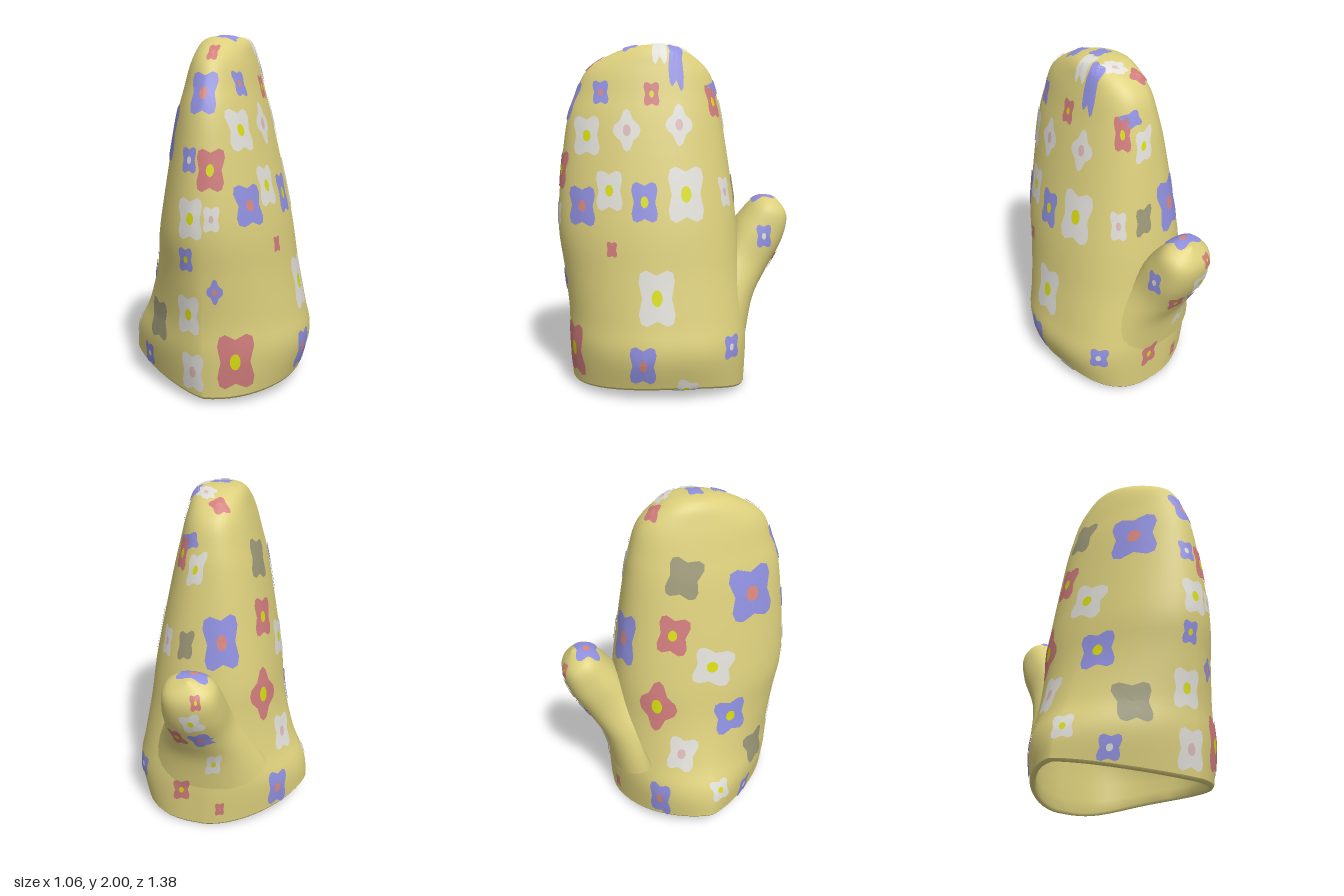
import * as THREE from 'three';
import { mergeGeometries } from 'three/addons/utils/BufferGeometryUtils.js';

const mat = (name, color) => Object.assign(new THREE.MeshStandardMaterial({ color }), { name });
const cloth = mat('yellow cloth', 0xdccf7c);
const PAINT = {
  b: mat('periwinkle', 0x9090e0), w: mat('off white', 0xe0ded8),
  r: mat('rose', 0xd07c7c), g: mat('grey olive', 0x9c9878),
  y: mat('lime yellow', 0xd8dc10), s: mat('salmon', 0xd98880), p: mat('pale pink', 0xdcb8b8),
};

// Skin a stack of closed rings
function loft(rows, flip = false) {
  const n = rows[0].length, index = [];
  for (let i = 0; i < rows.length - 1; i++) for (let j = 0; j < n; j++) {
    const k = (j + 1) % n, a = i * n + j, b = i * n + k, c = a + n, d = b + n;
    index.push(...(flip ? [a, b, c, b, d, c] : [a, c, b, b, c, d]));
  }
  const g = new THREE.BufferGeometry().setFromPoints(rows.flat());
  g.setIndex(index);
  g.computeVertexNormals();
  return g;
}

// Smooth sampler through a few stations, t from 0 to 1
function stations(keys) {
  const columns = keys[0].map((_, k) =>
    new THREE.SplineCurve(keys.map((row, i) => new THREE.Vector2(i, row[k]))));
  return t => columns.map(c => c.getPoint(t).y);
}
const power = (v, e) => Math.sign(v) * Math.abs(v) ** e;

// Body outline: y, left x, right x, back z, front z
const outline = stations([
  [0.035, -0.53, 0.48, -0.41, 0.62], [0.27, -0.515, 0.53, -0.42, 0.635],
  [0.45, -0.435, 0.5, -0.415, 0.635], [0.7, -0.365, 0.455, -0.39, 0.66],
  [1, -0.32, 0.41, -0.365, 0.69], [1.5, -0.23, 0.3, -0.29, 0.64],
  [1.7, -0.18, 0.25, -0.25, 0.58], [1.86, -0.135, 0.21, -0.19, 0.5],
  [1.975, -0.085, 0.165, -0.04, 0.29], [2, 0.03, 0.03, 0.1, 0.1],
]);
const SEG = 56, CX = 0.03, CZ = 0.1;

// One cross-section: pointed at the front left, boxier at the back right
function bodyRing(t, inset = 0, drop = 0) {
  const [y, xl, xr, zb, zf] = outline(t);
  const low = Math.max(0, 1 - y / 0.9), shrink = h => Math.max(0, h - inset);
  return Array.from({ length: SEG }, (_, j) => {
    const a = j / SEG * Math.PI * 2, c = Math.cos(a), s = Math.sin(a);
    const e = s > 0 ? 1.03 + low * (c < 0 ? 0.55 : 0) : 0.87 + low * (c < 0 ? 0.33 : -0.2);
    const hem = (c < 0 ? 0.11 : 0.06) * c * c + (s > 0 ? 0.01 : -0.02) * s * s;
    return new THREE.Vector3(
      CX + power(c, e) * shrink(c < 0 ? CX - xl : xr - CX),
      y + hem * Math.max(0, 1 - y / 0.25) - drop,
      CZ + power(s, e) * shrink(s < 0 ? CZ - zb : zf - CZ));
  });
}

const bodyGeometry = () => loft(Array.from({ length: 45 }, (_, i) => bodyRing(i / 44)));

// Rolled rim and inner wall
function liningGeometry() {
  const rows = [bodyRing(0), bodyRing(0, 0.008, 0.012), bodyRing(0, 0.022, 0.015), bodyRing(0, 0.035)];
  for (let i = 1; i <= 20; i++) rows.push(bodyRing(i / 20 * 0.78, 0.04));
  rows.push(bodyRing(0.78, 1));
  return loft(rows, true);
}

// Thumb stations: z, y, half height, half width; its root is cut to the curve of the back
function thumbGeometry() {
  const along = stations([
    [-0.2, 0.42, 0.26, 0.36], [-0.31, 0.6, 0.185, 0.265], [-0.41, 0.75, 0.165, 0.195],
    [-0.52, 0.92, 0.15, 0.172], [-0.588, 1.05, 0.105, 0.135], [-0.613, 1.105, 0, 0],
  ]);
  return loft(Array.from({ length: 25 }, (_, i) => {
    const [z, y, hh, hw] = along(i / 24);
    return Array.from({ length: 32 }, (_, j) => {
      const a = j / 32 * Math.PI * 2;
      const x = hw * power(Math.cos(a), 0.85), s = hh * power(Math.sin(a), 0.85);
      return new THREE.Vector3(0.035 + x, y + s * 0.5, Math.min(-0.35 + 0.9 * x * x, z + s * 0.86));
    });
  }));
}

// Printed flowers, grouped by the direction they are pressed on from:
// across, up, petal + centre colour ('+' puts petals on the axes), size
const SIZE = { T: 0.045, S: 0.07, M: 0.115, L: 0.16 };
const PRINTS = [
  { az: 90, el: 0, aspect: 0.65, list: [
    [-0.43, 0.72, 'bs', 'S'], [-0.15, 0.71, 'ry', 'S'], [-0.51, 0.48, 'wy'], [-0.29, 0.51, 'wp+'],
    [0, 0.54, 'wp+'], [-0.39, 0.18, 'wy'], [-0.2, 0.12, 'by'], [-0.54, 0.09, 'bs'],
    [0.03, 0.16, 'wy', 'L'], [-0.38, -0.14, 'r', 'T'], [-0.14, -0.4, 'wy', 'L'], [-0.22, -0.77, 'bs'],
    [0.28, -0.7, 'bw', 'S'], [0.51, -0.11, 'bw', 'S']] },
  { az: 0, el: 0, aspect: 0.6, list: [
    [0.05, 0.88, 'rs', 'T'], [0.03, 0.67, 'bs'], [-0.03, 0.33, 'bw', 'S'], [0.08, 0.28, 'ry'],
    [-0.02, 0.03, 'wy'], [0.09, 0.03, 'wp', 'S'], [-0.05, -0.19, 'by', 'S'], [0.1, -0.36, 'bs+', 'S'],
    [-0.05, -0.5, 'wy'], [-0.27, -0.59, 'g'], [0.2, -0.75, 'ry', 'L'], [-0.03, -0.82, 'wp'],
    [-0.36, -0.83, 'bw', 'S']] },
  { az: -60, el: 0, aspect: 0.9, list: [
    [0.25, 0.46, 'bs', 'L'], [0.05, -0.27, 'by'], [-0.11, -0.71, 'wy', 'S']] },
  { az: 0, el: 90, aspect: 1.3, list: [
    [0.02, 0.53, 'bs', 'S'], [-0.01, 0.12, 'rs+', 'T'], [0.08, 0.04, 'wp+', 'T'], [0.04, -0.12, 'b', 'T'],
    [0.15, -0.1, 'w', 'T'], [0.18, -0.01, 'b', 'T'], [0.08, -0.26, 'b', 'T']] },
  { az: 215, el: 22, aspect: 0.6, list: [
    [-0.09, 0.9, 'wp', 'T'], [-0.05, 0.81, 'rs', 'T'], [-0.22, 0.65, 'b', 'T'], [0.16, 0.52, 'g'],
    [0.16, 0.19, 'ry'], [-0.12, 0.08, 'bs', 'L'], [0.33, 0.05, 'wy'], [0.13, -0.26, 'ry+', 'L'],
    [0.28, -0.53, 'wp'], [0.21, -0.87, 'bs'], [-0.36, -0.79, 'ry', 'S'], [-0.16, -0.94, 'rs', 'T'],
    [-0.21, -0.62, 'wy', 'S'], [-0.36, -0.2, 'ry', 'T']] },
  { az: 142, el: -30, aspect: 0.65, list: [
    [-0.01, 0.71, 'ry', 'S'], [0.1, 0.65, 'wy', 'S'], [-0.04, 0.32, 'wp', 'S'], [0.1, 0.32, 'g', 'S'],
    [0.27, 0.03, 'ry', 'S'], [0.38, -0.01, 'bs', 'S'], [0.4, 0.15, 'wy', 'S'], [-0.36, -0.65, 'wy', 'S'],
    [-0.1, -0.75, 'gs'], [0.28, -0.8, 'wy', 'S'], [-0.38, -0.92, 'wp', 'S'], [0.02, -0.93, 'bs', 'T']] },
];

// Drape one flower on the cloth; returns its centre disc and its petals
function drapeFlower(targets, { az, el, aspect }, [u, v, code, size = 'M']) {
  const a = THREE.MathUtils.degToRad(az), e = THREE.MathUtils.degToRad(el), N = 24;
  const dir = new THREE.Vector3(Math.sin(a) * Math.cos(e), Math.sin(e), Math.cos(a) * Math.cos(e));
  const right = new THREE.Vector3(Math.cos(a), 0, -Math.sin(a)), up = dir.clone().cross(right);
  const ray = new THREE.Raycaster();
  const touch = (x, y) => {
    const from = new THREE.Vector3(0, 1, 0).addScaledVector(right, x).addScaledVector(up, y).addScaledVector(dir, 3);
    ray.set(from, dir.clone().negate());
    const hit = ray.intersectObjects(targets, false)[0];
    return hit && hit.point.clone().addScaledVector(hit.face.normal, 0.006);
  };
  const rings = [Array(N).fill(touch(u, v))];
  for (const f of [0.28, 0.64, 1]) {
    rings.push(rings[rings.length - 1].map((prev, j) => {
      const t = j / N * Math.PI * 2, wave = Math.cos(4 * t);
      const edge = code.endsWith('+') ? 0.85 + 0.17 * wave : 0.99 - 0.22 * wave;
      const r = SIZE[size] * (f < 0.3 ? f : f * edge);
      const p = touch(u + aspect * r * Math.cos(t), v + r * Math.sin(t));
      return p && p.distanceTo(prev) < 0.2 ? p : prev;
    }));
  }
  return { disc: loft(rings.slice(0, 2)), petals: loft(rings.slice(1)) };
}

export function createModel() {
  const group = new THREE.Group();
  const add = (name, geometry, material) => {
    const mesh = new THREE.Mesh(geometry, material);
    mesh.name = name;
    group.add(mesh);
    return mesh;
  };
  const targets = [add('mittBody', bodyGeometry(), cloth), add('lining', liningGeometry(), cloth),
    add('thumb', thumbGeometry(), cloth)];

  // Collect the flowers by colour
  const bins = {};
  for (const side of PRINTS) for (const flower of side.list) {
    const { disc, petals } = drapeFlower(targets, side, flower);
    const [petal, centre = petal] = flower[2];
    (bins[petal] ??= []).push(petals);
    (bins[centre] ??= []).push(disc);
  }
  for (const key in bins) add(PAINT[key].name + ' flower print', mergeGeometries(bins[key]), PAINT[key]);
  return group;
}
